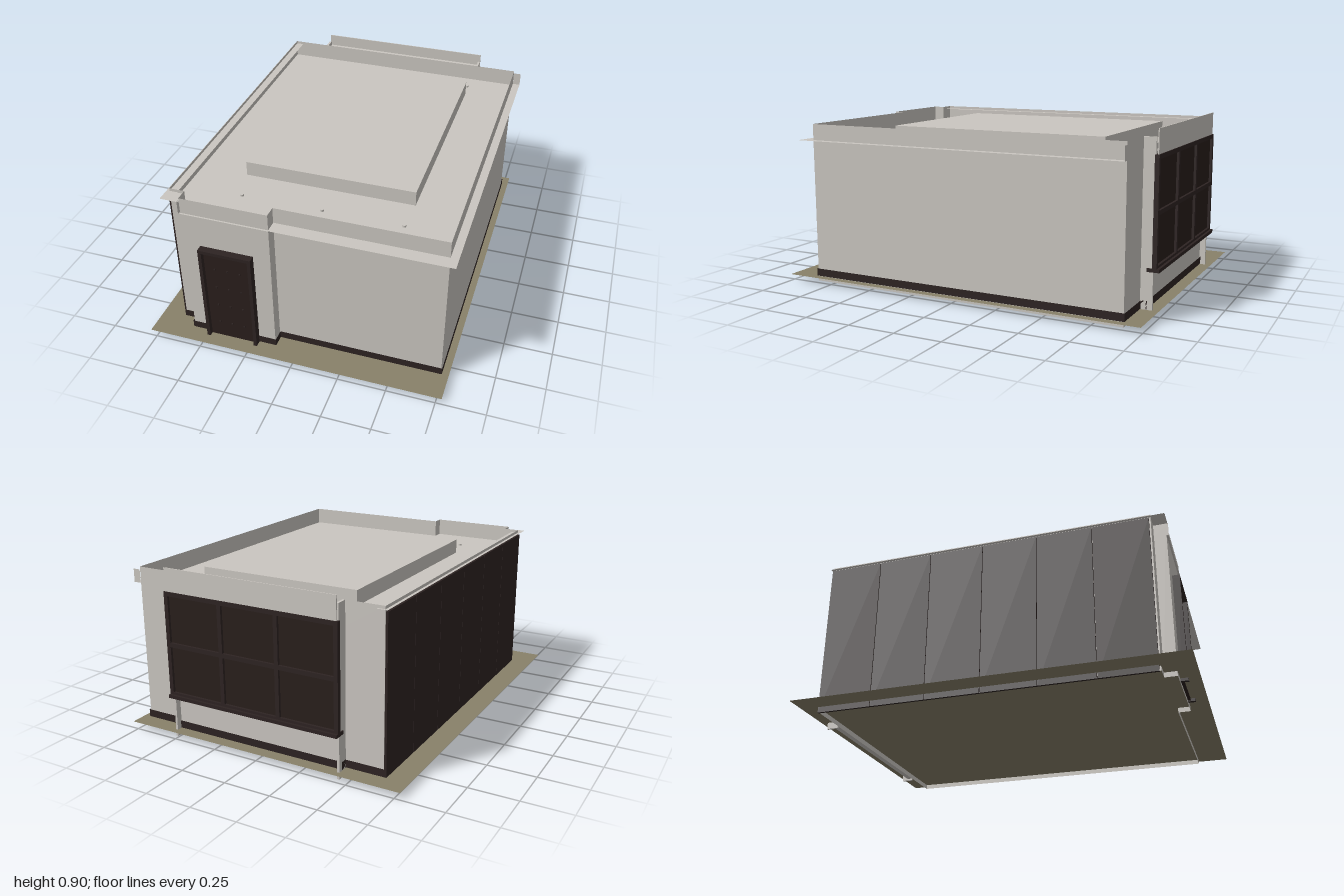
import * as THREE from 'three';

const mat = (name, color) =>
  Object.assign(new THREE.MeshStandardMaterial({ color, side: THREE.DoubleSide }), { name });

export function createModel() {
  const model = new THREE.Group();
  model.name = 'building';
  const plaster = mat('pale plaster', 0xcac6c0);
  const dark = mat('dark brown metal', 0x2d2322);
  const glass = mat('dark glass', 0x291e1b);
  const soil = mat('olive ground', 0x888169);

  const add = (name, geometry, material) => {
    const mesh = new THREE.Mesh(geometry, material);
    mesh.name = name;
    model.add(mesh);
    return mesh;
  };
  // Box given by its limits on each axis
  const box = (name, material, x0, x1, y0, y1, z0, z1) => {
    const g = new THREE.BoxGeometry(x1 - x0, y1 - y0, z1 - z0);
    return add(name, g.translate((x0 + x1) / 2, (y0 + y1) / 2, (z0 + z1) / 2), material);
  };
  // Horizontal sheet from [x, z] points
  const sheet = (name, material, y, pts) => {
    const g = new THREE.ShapeGeometry(new THREE.Shape(pts.map(p => new THREE.Vector2(...p))));
    return add(name, g.rotateX(Math.PI / 2).translate(0, y, 0), material);
  };
  const rect = (x0, x1, z0, z1) => [[x0, z0], [x1, z0], [x1, z1], [x0, z1]];
  // Upright ribbon following [x, z] points
  const ribbon = (name, material, y0, y1, pts) => {
    const pos = [];
    for (let i = 0; i + 1 < pts.length; i++) {
      const [ax, az] = pts[i], [bx, bz] = pts[i + 1];
      pos.push(ax, y0, az, bx, y0, bz, bx, y1, bz, ax, y0, az, bx, y1, bz, ax, y1, az);
    }
    const g = new THREE.BufferGeometry();
    g.setAttribute('position', new THREE.Float32BufferAttribute(pos, 3));
    g.computeVertexNormals();
    return add(name, g, material);
  };

  // Ground and outer walls with a projecting entrance bay
  sheet('ground', soil, 0.035, rect(-0.78, 0.78, -1, 1));
  const plan = [[-0.65, -0.905], [-0.65, 0.84], [-0.57, 0.84], [-0.57, 0.903], [-0.115, 0.903],
    [-0.115, 0.84], [0.74, 0.84], [0.74, -0.905]];
  ribbon('walls', plaster, 0.01, 0.86, [...plan, plan[0]]);

  // Flat roof with raised slab and drains
  sheet('roof', plaster, 0.768, plan);
  box('roofSlab', plaster, -0.4, 0.49, 0.768, 0.845, -0.705, 0.49);
  for (const x of [-0.35, 0.07, 0.48]) for (const z of [-0.8, 0.67]) {
    add('roofDrain', new THREE.CylinderGeometry(0.01, 0.01, 0.01, 10).translate(x, 0.773, z), plaster);
  }

  // Ledges below the parapet and their end plates
  sheet('mainLedge', plaster, 0.775, [[0.74, -0.908], [0.78, -0.908], [0.78, 0.91], [-0.115, 0.91],
    [-0.115, 0.84], [0.74, 0.84]]);
  sheet('entranceLedge', plaster, 0.775, rect(-0.57, -0.115, 0.903, 0.912));
  ribbon('ledgeEndBack', plaster, 0.775, 0.845, [[0.74, -0.908], [0.78, -0.908]]);
  ribbon('ledgeEndFront', plaster, 0.775, 0.845, [[-0.575, 0.84], [-0.575, 0.915]]);
  sheet('panelCap', plaster, 0.845, rect(-0.665, -0.61, -0.915, 0.91));
  sheet('cornerLedge', plaster, 0.843, rect(-0.665, -0.57, 0.84, 0.912));

  // Skirting strip around front, right side and back
  ribbon('skirting', dark, 0.038, 0.078, [[-0.655, 0.845], [-0.575, 0.845], [-0.575, 0.908],
    [-0.11, 0.908], [-0.11, 0.845], [0.745, 0.845], [0.745, -0.91], [0.52, -0.91], [0.52, -0.94],
    [-0.45, -0.94], [-0.45, -0.91], [-0.655, -0.91]]);

  // Dark cladding on the right-hand side of the building
  const panels = 6, step = 1.74 / panels;
  for (let i = 0; i < panels; i++) {
    const z = -0.905 + i * step;
    box('sidePanel', dark, -0.663, -0.651, 0.005, 0.835, z, z + step - 0.003);
  }

  // Entrance: frame, leaf and studs
  for (const x of [-0.482, -0.222]) box('doorJamb', dark, x, x + 0.018, 0.02, 0.595, 0.904, 0.942);
  box('doorHead', dark, -0.482, -0.204, 0.577, 0.595, 0.904, 0.942);
  box('doorLeaf', glass, -0.464, -0.222, 0.025, 0.577, 0.904, 0.918);
  for (let i = 0; i < 3; i++) for (let j = 0; j < 4; j++) {
    const x = -0.41 + i * 0.067, y = 0.13 + j * 0.115;
    box('doorStud', dark, x - 0.004, x + 0.004, y - 0.004, y + 0.004, 0.918, 0.923);
  }

  // Rear bay: recessed wall, side fins, hood and raised fascia
  box('rearBayWall', plaster, -0.45, 0.52, 0.01, 0.78, -0.935, -0.906);
  for (const x of [-0.45, 0.508]) box('rearFin', plaster, x, x + 0.012, 0, 0.86, -0.967, -0.906);
  sheet('rearHood', plaster, 0.835, rect(-0.45, 0.52, -0.978, -0.905));
  box('rearFascia', plaster, -0.447, 0.52, 0.78, 0.9, -0.98, -0.975);

  // Rear window: six panes in a frame
  const x0 = -0.455, x1 = 0.525, y0 = 0.23, y1 = 0.78, t = 0.022;
  box('windowGlass', glass, x0 + t, x1 - t, y0 + t, y1 - t, -0.972, -0.964);
  for (let i = 0; i <= 3; i++) {
    const x = x0 + (x1 - x0 - t) * i / 3;
    box('windowMullion', dark, x, x + t, y0, y1, -0.985, -0.962);
  }
  for (let j = 0; j <= 2; j++) {
    const y = y0 + (y1 - y0 - t) * j / 2;
    box('windowRail', dark, x0, x1, y, y + t, -0.985, -0.962);
  }
  box('windowSill', dark, x0, x1, y0 - 0.008, y0 + 0.01, -0.998, -0.936);
  return model;
}
